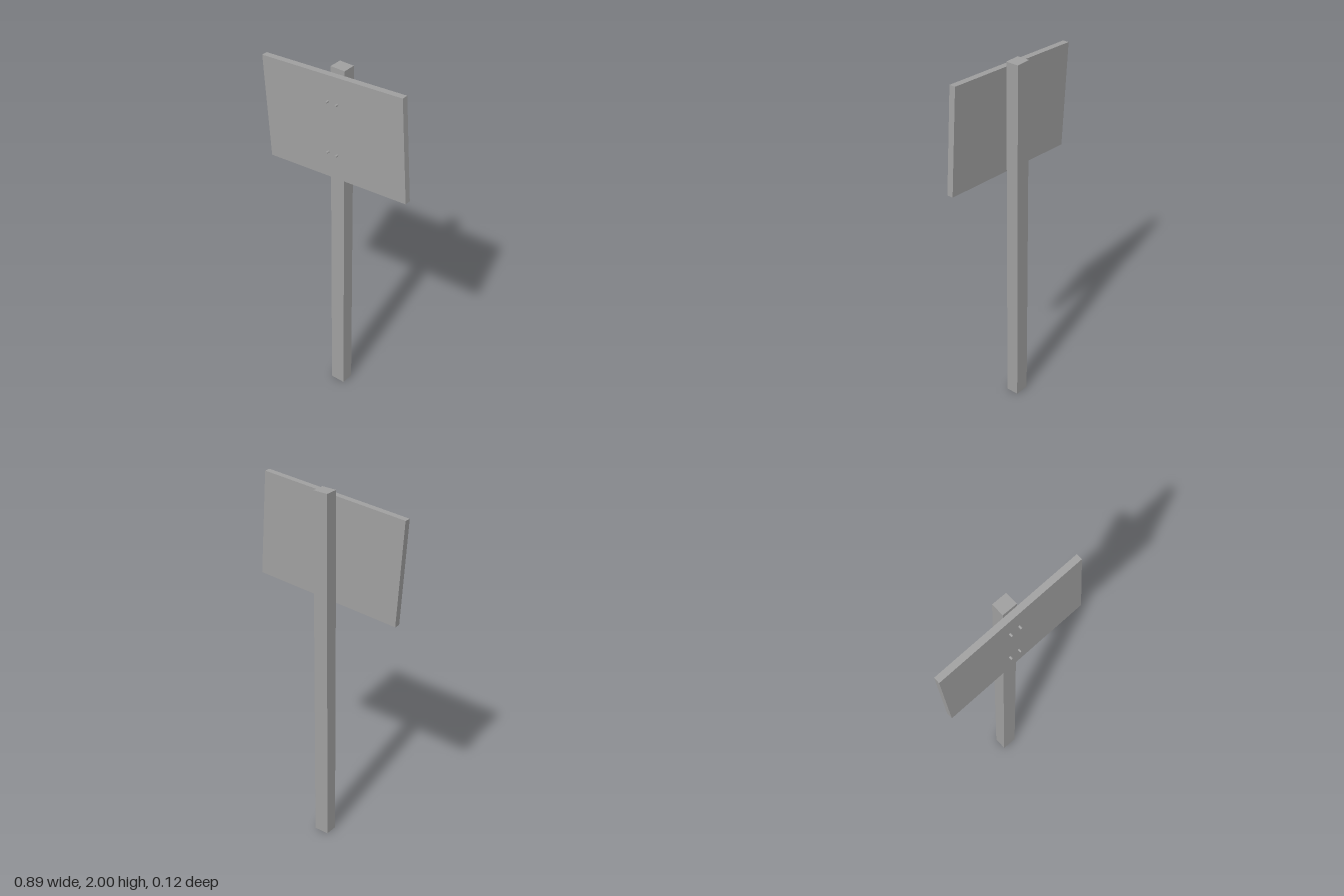
import * as THREE from 'three';

export function createModel() {
  const group = new THREE.Group();
  const grey = new THREE.MeshStandardMaterial({ color: 0xa0a0a0 });
  grey.name = 'grey';

  const add = (name, geometry, x, y, z) => {
    const mesh = new THREE.Mesh(geometry, grey);
    mesh.name = name;
    mesh.position.set(x, y, z);
    group.add(mesh);
    return mesh;
  };

  // Square upright post
  add('post', new THREE.BoxGeometry(0.084, 2, 0.071), 0, 1, -0.0275);

  // Board hung slightly crooked on the front of the post
  const board = add('board', new THREE.BoxGeometry(0.854, 0.567, 0.034), -0.001, 1.6875, 0.025);
  board.rotation.z = THREE.MathUtils.degToRad(4);

  // Two level pairs of nails through the board
  const nail = new THREE.CylinderGeometry(0.006, 0.006, 0.045, 8).toNonIndexed();
  nail.computeVertexNormals();
  nail.rotateX(Math.PI / 2);
  for (const y of [1.545, 1.83]) {
    for (const x of [-0.03, 0.027]) add('nail', nail, x, y, 0.0375);
  }

  return group;
}
